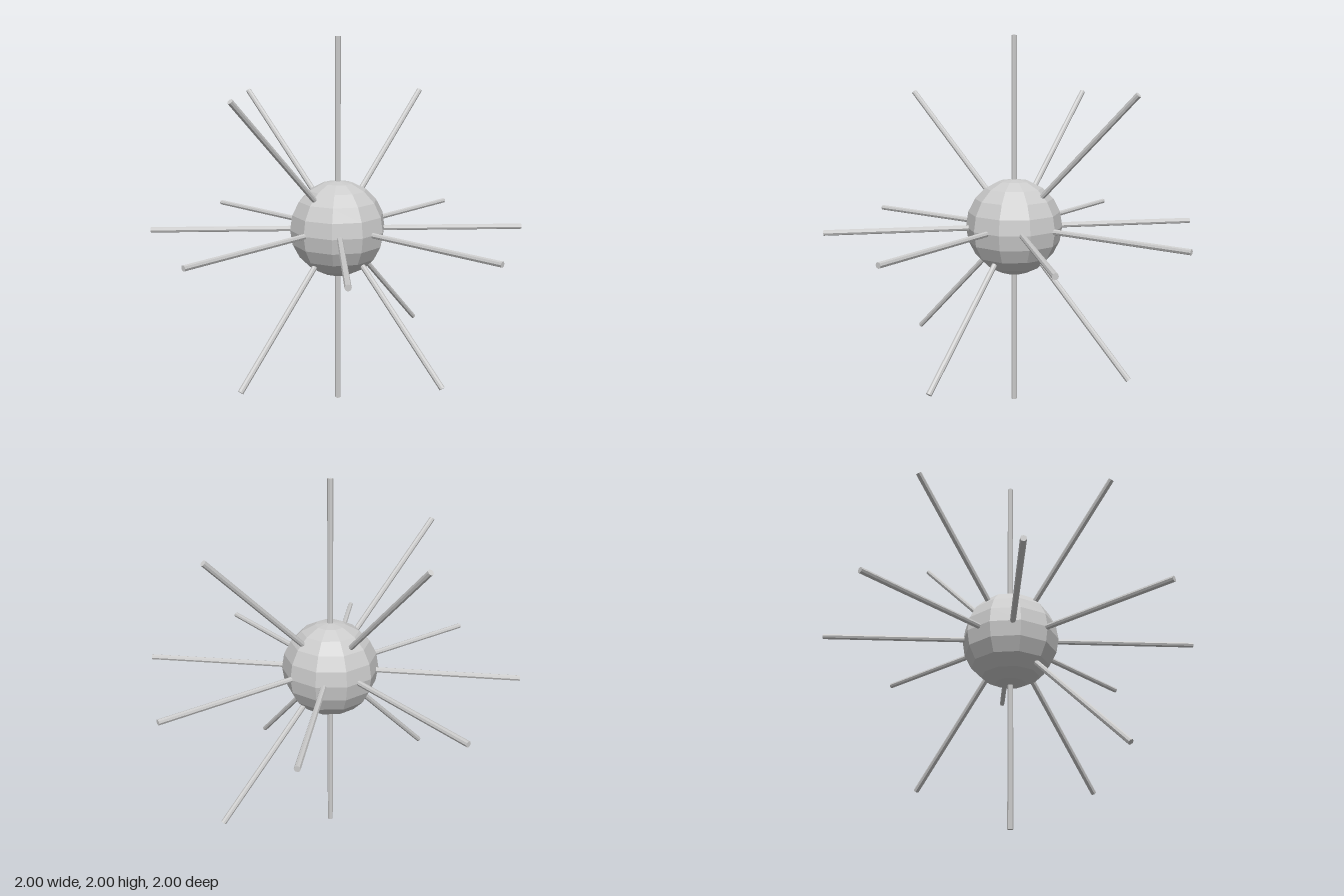
import * as THREE from 'three';

const RADIUS = 0.26;      // core ball
const ROD_RADIUS = 0.015;
const ROD_LENGTH = 2;     // each rod runs right through the core

export function createModel() {
  const model = new THREE.Group();
  model.name = 'spikedBall';
  const material = new THREE.MeshStandardMaterial({ color: 0xcccccc, flatShading: true });

  // faceted core
  const core = new THREE.Mesh(new THREE.SphereGeometry(RADIUS, 10, 10), material);
  core.name = 'core';
  core.position.y = 1;
  model.add(core);

  // rods along the three axes and five diagonals, each giving two opposite spikes
  const directions = {
    verticalRod: [0, 1, 0],
    sideRod: [1, 0, 0],
    frontRod: [0, 0, 1],
    leftRisingRod: [1, 1, 0],
    rightRisingRod: [-1, 1, 0],
    leftFrontRod: [1, 0, 1],
    rightFrontRod: [-1, 0, 1],
    backRisingRod: [0, 1, -1],
  };
  const rodGeometry = new THREE.CylinderGeometry(ROD_RADIUS, ROD_RADIUS, ROD_LENGTH, 8);
  const up = new THREE.Vector3(0, 1, 0);
  for (const [name, d] of Object.entries(directions)) {
    const rod = new THREE.Mesh(rodGeometry, material);
    rod.name = name;
    rod.position.y = 1;
    rod.quaternion.setFromUnitVectors(up, new THREE.Vector3(...d).normalize());
    model.add(rod);
  }
  return model;
}
